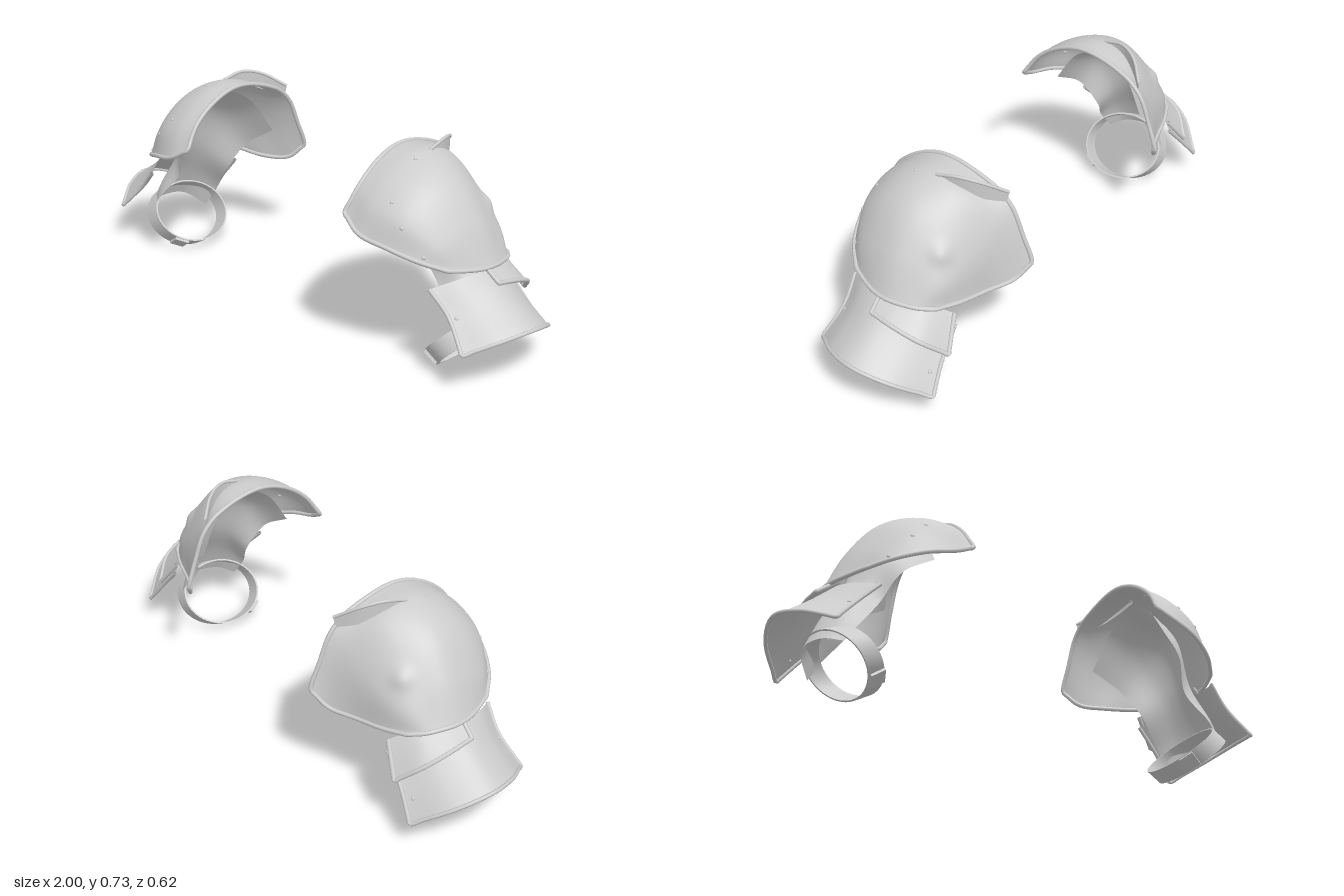
import * as THREE from 'three';

const steel = new THREE.MeshStandardMaterial({ color: 0xcccccc, side: THREE.DoubleSide });
steel.name = 'light grey';

// Cross-sections: each row runs front to back, rows run from the neck to the arm
const DOME = [
  [[.40, .535, .285], [.41, .62, .226], [.41, .69, .13], [.41, .717, .03], [.41, .695, -.09], [.405, .627, -.21], [.40, .405, -.30]],
  [[.48, .49, .303], [.50, .59, .25], [.51, .68, .14], [.52, .712, .02], [.52, .678, -.1], [.49, .565, -.20], [.45, .352, -.265]],
  [[.58, .465, .28], [.61, .55, .235], [.63, .63, .13], [.64, .652, .01], [.628, .60, -.1], [.60, .49, -.185], [.54, .343, -.22]],
  [[.68, .43, .23], [.71, .475, .18], [.73, .52, .09], [.737, .53, 0], [.716, .50, -.09], [.70, .44, -.157], [.655, .354, -.188]],
  [[.75, .40, .165], [.775, .393, .115], [.80, .387, .05], [.806, .385, -.01], [.792, .38, -.07], [.773, .374, -.112], [.735, .365, -.154]],
];
const UPPER_LAME = [
  [[.775, .40, .03], [.77, .39, -.04], [.742, .377, -.115], [.685, .33, -.19]],
  [[.85, .345, .025], [.853, .328, -.06], [.83, .29, -.15], [.765, .225, -.222]],
];
const LOWER_LAME = [
  [[.71, .336, .208], [.765, .363, .12], [.793, .373, .01], [.76, .345, -.1], [.69, .29, -.196]],
  [[.785, .26, .197], [.85, .286, .112], [.885, .297, .01], [.85, .265, -.1], [.775, .20, -.203]],
  [[.875, .163, .228], [.955, .205, .122], [.992, .22, .01], [.955, .182, -.112], [.855, .105, -.222]],
];
const LINER = [
  [[.50, .495, .20], [.495, .625, .11], [.495, .67, .005], [.49, .61, -.105], [.465, .475, -.195]],
  [[.60, .435, .162], [.64, .54, .1], [.66, .573, 0], [.64, .51, -.09], [.58, .395, -.16]],
  [[.66, .32, .115], [.72, .37, .078], [.745, .385, .01], [.72, .36, -.06], [.645, .295, -.12]],
  [[.745, .21, .148], [.795, .245, .097], [.82, .26, .01], [.79, .235, -.073], [.735, .175, -.138]],
  [[.80, .135, .138], [.85, .148, .09], [.87, .15, .01], [.85, .142, -.06], [.79, .09, -.122]],
];

// Edges of a surface as [start, end] pairs of (u, v)
const INNER = [[0, 0], [1, 0]], BACK = [[1, 0], [1, 1]], OUTER = [[1, 1], [0, 1]], FRONT = [[0, 1], [0, 0]];

const vec = ([x, y, z]) => new THREE.Vector3(x, y, z);
const spline = (pts, closed = false) => new THREE.CatmullRomCurve3(pts, closed);

// Smooth surface through the cross-sections; u runs front to back, v outwards
function surfaceOf(rows, shape = p => p) {
  const curves = rows.map(r => spline(r.map(vec)));
  return (u, v) => shape(spline(curves.map(c => c.getPoint(u))).getPoint(v));
}

// Small pressed peak on the back of the shoulder
function pressPeak(p) {
  const d = p.distanceToSquared(new THREE.Vector3(.66, .53, -.122));
  const k = .009 * Math.exp(-d / .0012);
  return p.add(new THREE.Vector3(k, k * .5, -k));
}

function sheet(f, s, nu, nv) {
  const pos = [], idx = [];
  for (let j = 0; j <= nv; j++) for (let i = 0; i <= nu; i++) {
    const p = f(i / nu, j / nv);
    pos.push(p.x * s, p.y, p.z);
    if (i < nu && j < nv) {
      const a = j * (nu + 1) + i, b = a + nu + 1;
      if (s > 0) idx.push(a, b, a + 1, a + 1, b, b + 1);
      else idx.push(a, a + 1, b, a + 1, b + 1, b);
    }
  }
  const g = new THREE.BufferGeometry();
  g.setAttribute('position', new THREE.Float32BufferAttribute(pos, 3));
  g.setIndex(idx);
  g.computeVertexNormals();
  return g;
}

// Rolled rim following consecutive edges of a surface
function rimTube(f, s, edges, radius) {
  const n = 14, closed = edges.length === 4, pts = [];
  const put = (u, v) => { const p = f(u, v); p.x *= s; pts.push(p); };
  edges.forEach(([a, b]) => {
    for (let i = 0; i < n; i++) put(a[0] + (b[0] - a[0]) * i / n, a[1] + (b[1] - a[1]) * i / n);
  });
  if (!closed) put(...edges[edges.length - 1][1]);
  return new THREE.TubeGeometry(spline(pts, closed), 40 * edges.length, radius, 8, closed);
}

function pauldron(s) {
  const group = new THREE.Group();
  group.name = s > 0 ? 'leftPauldron' : 'rightPauldron';
  const add = (name, geo) => {
    const m = new THREE.Mesh(geo, steel);
    m.name = name;
    group.add(m);
    return m;
  };
  const plate = (name, f, nu, nv, edges, radius) => {
    add(name, sheet(f, s, nu, nv));
    add(name + 'Rim', rimTube(f, s, edges, radius));
  };
  // Flat rivet head lying on a surface
  const rivet = (f, u, v) => {
    const p = f(u, v), e = .01;
    const n = f(u, v + e).sub(p).cross(f(u + e, v).sub(p)).normalize();
    p.x *= s; n.x *= s;
    const m = add('rivet', new THREE.SphereGeometry(.007, 10, 6));
    m.scale.y = .6;
    m.position.copy(p);
    m.quaternion.setFromUnitVectors(new THREE.Vector3(0, 1, 0), n);
  };

  const dome = surfaceOf(DOME, pressPeak);
  const upper = surfaceOf(UPPER_LAME);
  const lower = surfaceOf(LOWER_LAME);
  plate('shoulderDome', dome, 64, 48, [INNER, BACK, OUTER, FRONT], .008);
  plate('upperLame', upper, 24, 8, [BACK, OUTER, FRONT], .008);
  plate('lowerLame', lower, 32, 16, [BACK, OUTER, FRONT], .007);
  add('armLiner', sheet(surfaceOf(LINER), s, 32, 32));

  [[.42, .26], [.21, .36], [.14, .52], [.05, .75]].forEach(([u, v]) => rivet(dome, u, v));
  [[.05, .55], [.95, .4], [.95, .7]].forEach(([u, v]) => rivet(lower, u, v));

  // Standing neck guard on top of the shoulder
  const guard = surfaceOf([
    [[.515, .70, 0], [.505, .68, -.08], [.47, .65, -.15], [.41, .625, -.21]],
    [[.515, .712, 0], [.505, .728, -.08], [.47, .712, -.15], [.405, .664, -.215]],
  ]);
  plate('neckGuard', guard, 24, 4, [OUTER], .006);

  // Arm strap: slanted elliptical band with some thickness
  const along = new THREE.Vector3(.71, .704, 0), axis = new THREE.Vector3(.87, -.5, 0);
  const ring = (a, r, w) => new THREE.Vector3(.735, .114, .02)
    .addScaledVector(along, -Math.cos(a) * (.132 + r))
    .addScaledVector(axis, w)
    .add(new THREE.Vector3(0, 0, Math.sin(a) * (.161 + r)));
  const corners = [[0, -.033], [0, .033], [-.006, .033], [-.006, -.033], [0, -.033]];
  for (let k = 0; k < 4; k++) {
    const [p, q] = [corners[k], corners[k + 1]];
    add('armStrap', sheet((u, v) => ring(-u * Math.PI * 2,
      p[0] + (q[0] - p[0]) * v, p[1] + (q[1] - p[1]) * v), s, 56, 1));
  }

  // Buckle on the underside of the strap
  const a = .7, c = ring(a, .004, 0);
  const t = ring(a + .02, .004, 0).sub(c).normalize();
  const n = new THREE.Vector3().crossVectors(t, axis).normalize();
  [c, t, n].forEach(p => { p.x *= s; });
  const w = new THREE.Vector3().crossVectors(t, n);
  const buckle = add('buckle', new THREE.BoxGeometry(.055, .01, .058));
  buckle.quaternion.setFromRotationMatrix(new THREE.Matrix4().makeBasis(t, n, w));
  buckle.position.copy(c);
  return group;
}

export function createModel() {
  const model = new THREE.Group();
  model.name = 'pauldrons';
  model.add(pauldron(1), pauldron(-1));
  return model;
}
